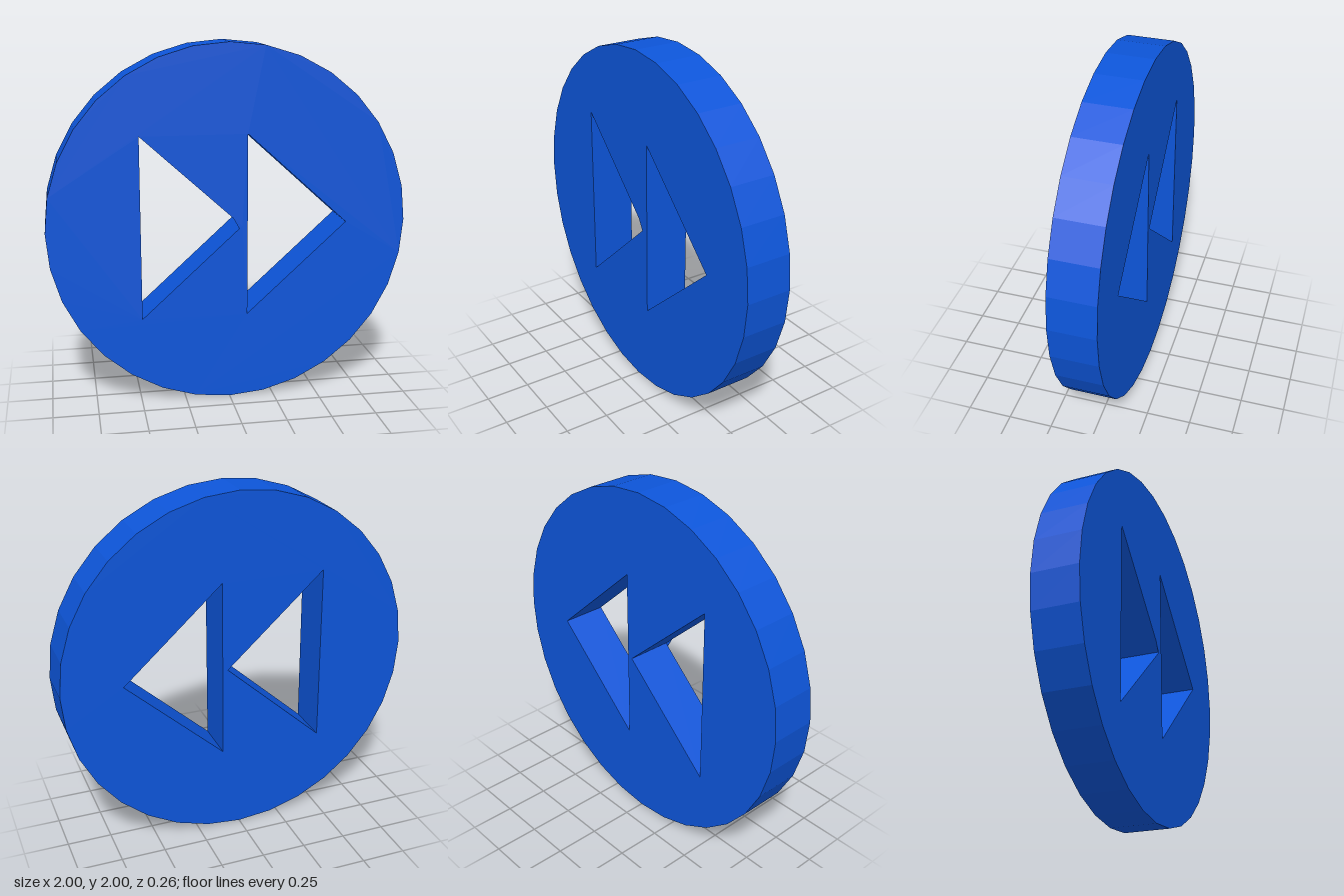
import * as THREE from 'three';

const DEPTH = 0.26, SIDES = 32, CY = 1;

// Closed outline from a list of [x, y] corners
const outline = (points, Type) => new Type(points.map(([x, y]) => new THREE.Vector2(x, y)));

// Triangular cut-out pointing to +x
const arrow = (x) => outline([[x, CY - 0.51], [x, CY + 0.51], [x + 0.56, CY]], THREE.Path);

export function createModel() {
  const group = new THREE.Group();
  group.name = 'fastForwardButton';
  const material = new THREE.MeshStandardMaterial({ color: 0x0d55d9, flatShading: true });

  // 32-sided disc pierced by two arrows
  const rim = Array.from({ length: SIDES }, (_, i) => {
    const a = (i / SIDES) * Math.PI * 2;
    return [Math.cos(a), CY + Math.sin(a)];
  });
  const shape = outline(rim, THREE.Shape);
  shape.holes.push(arrow(-0.49), arrow(0.1));
  const discGeometry = new THREE.ExtrudeGeometry(shape, { depth: DEPTH, bevelEnabled: false });
  discGeometry.translate(0, 0, -DEPTH / 2);
  const disc = new THREE.Mesh(discGeometry, material);
  disc.name = 'disc';
  group.add(disc);

  // Small flat web closing the tip of the first arrow on the front face
  const webMaterial = material.clone();
  webMaterial.side = THREE.DoubleSide;
  const web = new THREE.Mesh(
    new THREE.ShapeGeometry(outline([[0.054, 0.985], [0.07, 1], [0.017, 1.05]], THREE.Shape)),
    webMaterial,
  );
  web.position.z = DEPTH / 2;
  web.name = 'arrowTipWeb';
  group.add(web);

  return group;
}
